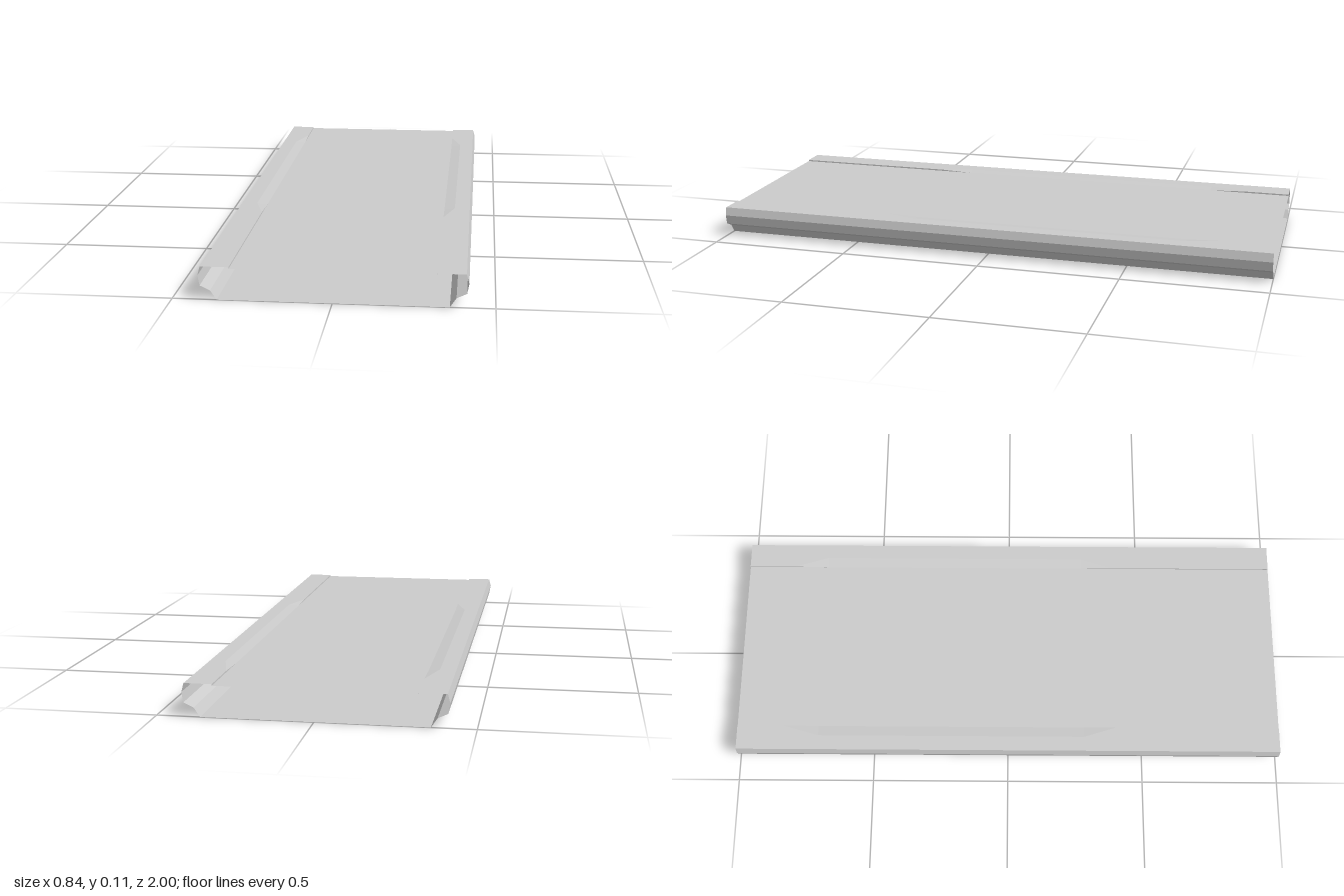
import * as THREE from 'three';

const TOP = 0.107, DECK = 0.102, EDGE = 0.32;
// stations along the length: [z, height of the flange's inner edge]
const STATIONS = [[1, TOP], [0.4, TOP], [0.28, DECK], [-0.7, DECK], [-0.83, TOP], [-1, TOP]];
const material = new THREE.MeshStandardMaterial({
  color: 0xcccccc, flatShading: true, side: THREE.DoubleSide,
});

// Open sheet: joins the same profile from station to station.
function sheet(name, profileAt, stations, mirrored = false) {
  const rows = stations.map(([z, h]) => {
    let pts = profileAt(h);
    if (mirrored) pts = pts.map(([x, y]) => [-x, y]).reverse();
    return pts.map(([x, y]) => [x, y, z]);
  });
  const pos = [];
  for (let i = 0; i < rows.length - 1; i++) {
    const backHalf = i >= 3;
    for (let k = 0; k < rows[i].length - 1; k++) {
      const a = rows[i][k], b = rows[i][k + 1];
      const c = rows[i + 1][k + 1], d = rows[i + 1][k];
      // turn the diagonal so the dent ends taper as triangles
      if (backHalf !== mirrored) pos.push(...a, ...b, ...d, ...b, ...c, ...d);
      else pos.push(...a, ...b, ...c, ...a, ...c, ...d);
    }
  }
  const geo = new THREE.BufferGeometry();
  geo.setAttribute('position', new THREE.Float32BufferAttribute(pos, 3));
  geo.computeVertexNormals();
  const mesh = new THREE.Mesh(geo, material);
  mesh.name = name;
  return mesh;
}

export function createModel() {
  const group = new THREE.Group();
  group.name = 'hollowPanel';
  const ends = [STATIONS[0], STATIONS[STATIONS.length - 1]];

  // recessed top deck and flat underside
  group.add(sheet('deck', () => [[-EDGE, DECK], [EDGE, DECK]], ends));
  group.add(sheet('underside', () => [[0.36, 0], [-0.36, 0]], ends));

  // flange with dented inner edge, and the folded side below it
  const flange = (h) => [[EDGE, DECK], [EDGE, h], [0.357, TOP], [0.41, TOP]];
  const side = () => [[0.41, TOP], [0.418, 0.078], [0.412, 0.045], [0.38, 0.03], [0.36, 0]];
  for (const [label, mirrored] of [['left', false], ['right', true]]) {
    group.add(sheet(label + 'Flange', flange, STATIONS, mirrored));
    group.add(sheet(label + 'Side', side, ends, mirrored));
  }
  return group;
}
